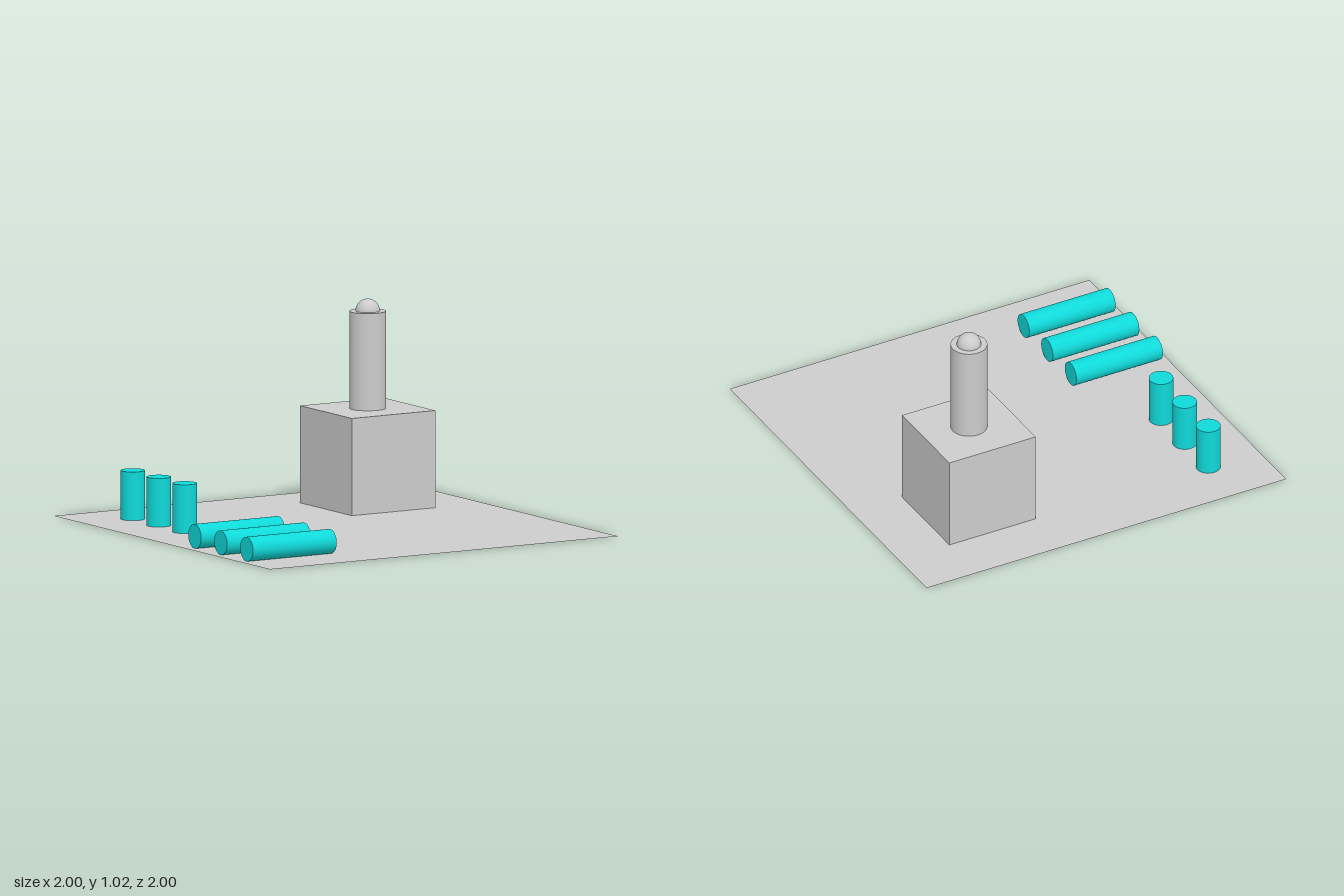
import * as THREE from 'three';

export function createModel() {
  const model = new THREE.Group();
  const grey = new THREE.MeshStandardMaterial({ color: 0xcccccc, side: THREE.DoubleSide });
  grey.name = 'light grey';
  const cyan = new THREE.MeshStandardMaterial({ color: 0x10d9d9 });
  cyan.name = 'cyan';

  const add = (name, geometry, material, x, y, z) => {
    const mesh = new THREE.Mesh(geometry, material);
    mesh.name = name;
    mesh.position.set(x, y, z);
    model.add(mesh);
    return mesh;
  };

  // Flat ground sheet
  add('ground', new THREE.PlaneGeometry(2, 2).rotateX(-Math.PI / 2), grey, 0, 0, 0);

  // Tower: cube base, round column and a ball half sunk into its top
  add('towerBase', new THREE.BoxGeometry(0.48, 0.48, 0.48), grey, 0.48, 0.24, -0.48);
  add('towerColumn', new THREE.CylinderGeometry(0.09, 0.09, 0.48, 32), grey, 0.48, 0.72, -0.48);
  add('towerBall', new THREE.SphereGeometry(0.06, 32, 20), grey, 0.48, 0.96, -0.48);

  // Three standing posts at the back and three lying logs at the front
  const post = new THREE.CylinderGeometry(0.06, 0.06, 0.24, 32);
  const log = new THREE.CylinderGeometry(0.06, 0.06, 0.48, 32).rotateZ(Math.PI / 2);
  for (let i = 1; i <= 3; i++) {
    add(`standingPost${i}`, post, cyan, -0.72, 0.12, -0.24 * i);
    add(`lyingLog${i}`, log, cyan, -0.72, 0.06, 0.24 * i);
  }
  return model;
}
